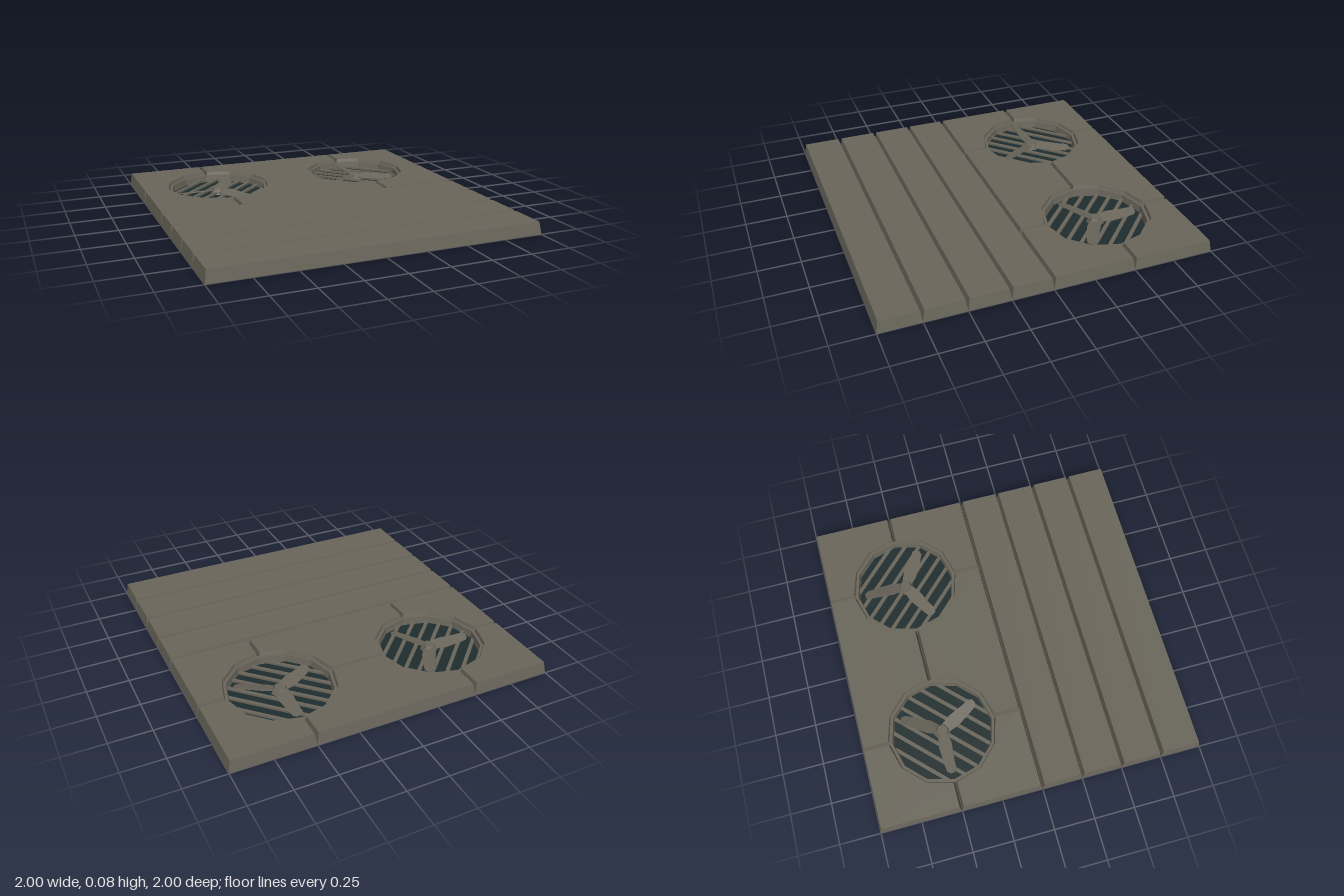
import * as THREE from 'three';

const stone = new THREE.MeshStandardMaterial({ color: 0x6a665b });
stone.name = 'grey brown metal';
const teal = new THREE.MeshStandardMaterial({ color: 0x1f2d2e, side: THREE.DoubleSide });
teal.name = 'dark teal';

const H = 0.075;      // panel height
const INSET = 0.012;  // bevel at the top edges
const FLOOR = 0.006;  // thickness of the base sheet

function add(parent, name, geometry, material, x = 0, y = 0, z = 0) {
  const mesh = new THREE.Mesh(geometry, material);
  mesh.name = name;
  mesh.position.set(x, y, z);
  parent.add(mesh);
  return mesh;
}

// Rectangle outline inset by d; corners lying on a fan centre become a faceted quarter cut
function outline(x0, x1, z0, z1, d, r) {
  const corners = [[x0, z0], [x1, z0], [x1, z1], [x0, z1]];
  const points = [];
  corners.forEach(([cx, cz], k) => {
    const cut = Math.abs(cx) === 0.5 && cz === -0.5;
    for (let i = 0; i <= (cut ? 3 : 0); i++) {
      const a = (90 + 90 * k - 30 * i) * Math.PI / 180;
      const x = cut ? cx + r * Math.cos(a) : cx;
      const z = cut ? cz + r * Math.sin(a) : cz;
      points.push(new THREE.Vector2(
        THREE.MathUtils.clamp(x, x0 + d, x1 - d),
        THREE.MathUtils.clamp(z, z0 + d, z1 - d)));
    }
  });
  return points;
}

// Bevelled slab joining a wide bottom outline to an inset top outline
function slab(x0, x1, z0, z1) {
  const low = outline(x0, x1, z0, z1, 0, 0.315);
  const top = outline(x0, x1, z0, z1, INSET, 0.335);
  const pos = [];
  const put = (p, y) => pos.push(p.x, y, p.y);
  low.forEach((b, i) => {
    const j = (i + 1) % low.length;
    put(b, 0); put(top[i], H); put(low[j], 0);
    put(low[j], 0); put(top[i], H); put(top[j], H);
  });
  for (const face of THREE.ShapeUtils.triangulateShape(top, [])) {
    const [a, b, c] = face.map(i => top[i]);
    const turn = (b.x - a.x) * (c.y - a.y) - (b.y - a.y) * (c.x - a.x);
    (turn > 0 ? [a, c, b] : [a, b, c]).forEach(p => put(p, H));
  }
  const g = new THREE.BufferGeometry();
  g.setAttribute('position', new THREE.Float32BufferAttribute(pos, 3));
  g.computeVertexNormals();
  return g;
}

// Round well with teal floor, diagonal grille bars and a three-bladed fan
function fanUnit() {
  const g = new THREE.Group();
  const floor = new THREE.CircleGeometry(0.32, 12).rotateX(-Math.PI / 2);
  add(g, 'wellFloor', floor, teal, 0, 0.01, 0);

  const section = [[0.305, 0.006], [0.33, 0.006], [0.33, 0.055], [0.312, 0.055], [0.305, 0.006]];
  const ring = new THREE.LatheGeometry(section.map(p => new THREE.Vector2(...p)), 12).toNonIndexed();
  ring.computeVertexNormals();
  add(g, 'wellRing', ring, stone);

  const bars = new THREE.Group();
  bars.name = 'grille';
  bars.rotation.y = Math.PI / 4;
  for (let i = -3; i <= 3; i++) {
    const z = i * 0.08;
    const length = 2 * Math.sqrt(0.305 ** 2 - z * z);
    add(bars, 'grilleBar', new THREE.BoxGeometry(length, 0.012, 0.022), stone, 0, 0.022, z);
  }
  g.add(bars);

  const blade = new THREE.Shape([
    [0.02, -0.03], [0.09, -0.045], [0.2, -0.038], [0.25, -0.032], [0.268, -0.015],
    [0.268, 0.015], [0.25, 0.03], [0.2, 0.03], [0.09, 0.04], [0.02, 0.03],
  ].map(p => new THREE.Vector2(...p)));
  const bladeGeo = new THREE.ExtrudeGeometry(blade, { depth: 0.006, bevelEnabled: false });
  bladeGeo.rotateX(-Math.PI / 2 + 0.25);
  const fan = new THREE.Group();
  fan.name = 'fan';
  for (let i = 0; i < 3; i++) {
    const b = add(fan, 'fanBlade', bladeGeo, stone, 0, 0.032, 0);
    b.rotation.y = (60 + 120 * i) * Math.PI / 180;
  }
  const hub = new THREE.CylinderGeometry(0.035, 0.055, 0.04, 6).toNonIndexed();
  hub.computeVertexNormals();
  add(fan, 'fanHub', hub, stone, 0, 0.032, 0);
  g.add(fan);
  return g;
}

export function createModel() {
  const model = new THREE.Group();
  model.name = 'ventedFloorPanel';

  add(model, 'baseSheet', new THREE.BoxGeometry(1.996, FLOOR, 1.996), stone, 0, FLOOR / 2, 0);

  // Four planks across the front half
  for (let i = 0; i < 4; i++) add(model, 'plank', slab(-1, 1, i * 0.25, (i + 1) * 0.25), stone);

  // Six plates around the fan wells
  for (const [x0, x1] of [[-1, -0.5], [-0.5, 0.5], [0.5, 1]]) {
    for (const z0 of [-1, -0.5]) add(model, 'plate', slab(x0, x1, z0, z0 + 0.5), stone);
  }

  // Two fan units, the second turned a quarter
  for (const side of [-1, 1]) {
    const unit = fanUnit();
    unit.name = side < 0 ? 'rightFanUnit' : 'leftFanUnit';
    unit.position.set(side * 0.5, 0, -0.5);
    if (side > 0) unit.rotation.y = -Math.PI / 2;
    model.add(unit);
  }
  return model;
}
